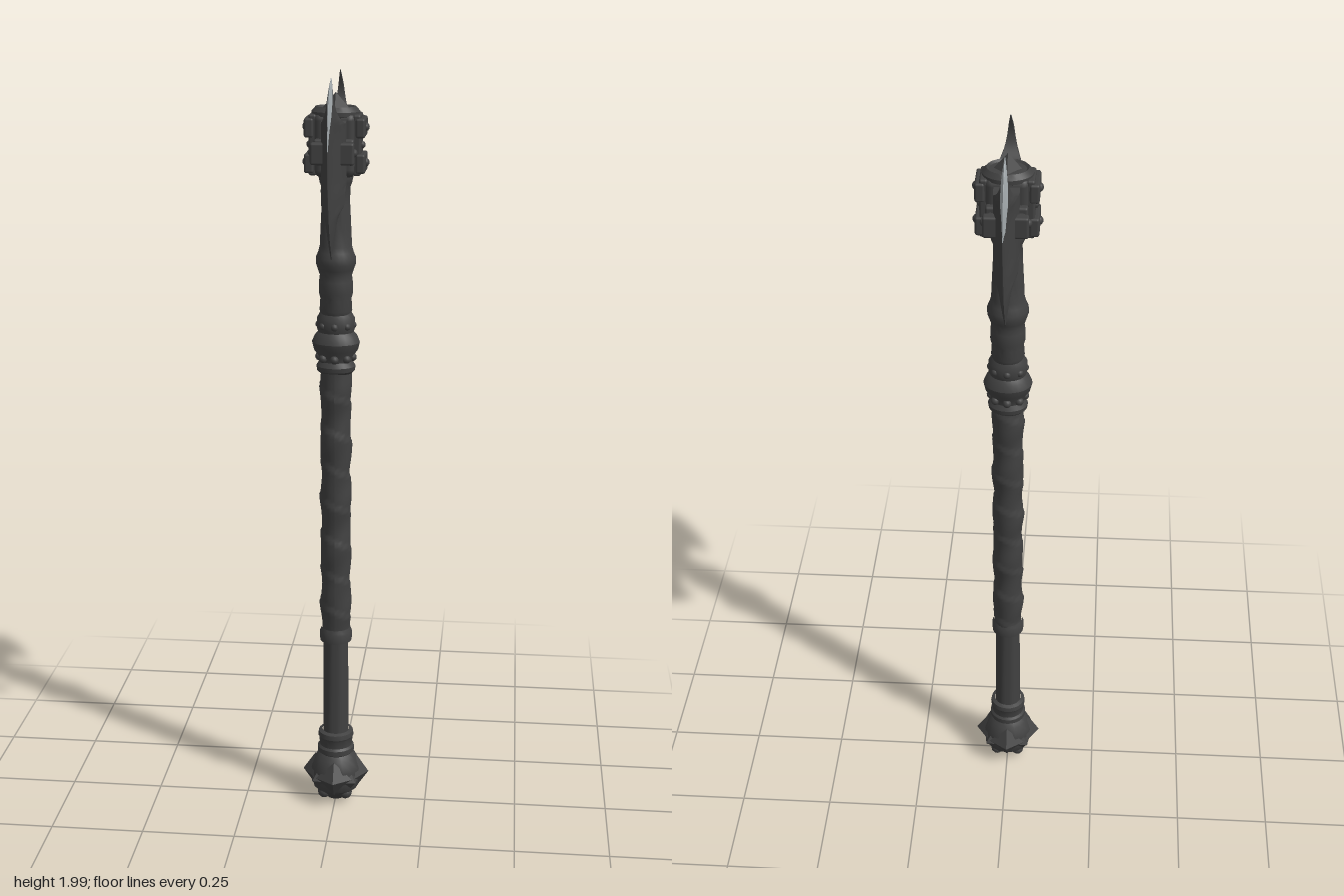
import * as THREE from 'three';
import { toCreasedNormals } from 'three/addons/utils/BufferGeometryUtils.js';
import { RoundedBoxGeometry } from 'three/addons/geometries/RoundedBoxGeometry.js';

const material = (name, color) => Object.assign(new THREE.MeshStandardMaterial({ color }), { name });

export function createModel() {
  const axe = new THREE.Group();
  axe.name = 'battleAxe';
  const iron = material('dark iron', 0x414141);
  const steel = material('bare steel', 0xa6adb0);

  const add = (name, geometry, x = 0, y = 0, z = 0, parent = axe) => {
    const mesh = new THREE.Mesh(geometry, iron);
    mesh.name = name;
    mesh.position.set(x, y, z);
    parent.add(mesh);
    return mesh;
  };
  const lathe = (name, points, sides = 24) =>
    add(name, toCreasedNormals(new THREE.LatheGeometry(
      points.map(([r, y]) => new THREE.Vector2(r, y)), sides), 0.6));
  const box = (name, w, h, d, x, y, z, parent, r = 0.006) =>
    add(name, new RoundedBoxGeometry(w, h, d, 2, r), x, y, z, parent);

  // Pommel: lumpy core, four big pyramid studs and small studs between them
  const pommel = lathe('pommel', [[0, 0.012], [0.025, 0.014], [0.04, 0.03], [0.062, 0.05], [0.07, 0.08],
    [0.07, 0.11], [0.056, 0.14], [0.045, 0.155], [0.04, 0.16]], 16);
  pommel.scale.set(1, 1, 0.97);
  for (let i = 0; i < 8; i++) {
    const stud = new THREE.Group();
    stud.name = 'pommelStud';
    stud.rotation.y = i * Math.PI / 4;
    const big = i % 2 === 0;
    const spike = new THREE.ConeGeometry(big ? 0.05 : 0.024, big ? 0.034 : 0.02, 4).toNonIndexed();
    spike.computeVertexNormals();
    spike.rotateX(Math.PI / 2);
    add('spike', spike, 0, big ? 0.093 : 0.085, big ? 0.074 : 0.075, stud);
    if (!big) add('lobe', new THREE.SphereGeometry(0.018, 10, 8), 0, 0.04, 0.042, stud);
    axe.add(stud);
  }
  lathe('pommelCollar', [[0.04, 0.15], [0.05, 0.158], [0.05, 0.172], [0.045, 0.178], [0.046, 0.2],
    [0.049, 0.205], [0.047, 0.218], [0.037, 0.222]]);

  // Fluted lower handle
  const flutes = new THREE.CylinderGeometry(0.034, 0.036, 0.29, 32, 1);
  const fp = flutes.attributes.position;
  for (let i = 0; i < fp.count; i++) {
    const k = 1 - 0.04 * (0.5 + 0.5 * Math.cos(8 * Math.atan2(fp.getX(i), fp.getZ(i))));
    fp.setXYZ(i, fp.getX(i) * k, fp.getY(i), fp.getZ(i) * k);
  }
  flutes.computeVertexNormals();
  add('lowerHandle', flutes, 0, 0.355, 0);
  lathe('gripEndBand', [[0.034, 0.488], [0.043, 0.492], [0.044, 0.515], [0.041, 0.522], [0.039, 0.53]]);

  // Wrapped grip: a column roughened by spiral folds
  const grip = new THREE.CylinderGeometry(1, 1, 0.75, 32, 96, true);
  const gp = grip.attributes.position;
  for (let i = 0; i < gp.count; i++) {
    const y = gp.getY(i), a = Math.atan2(gp.getX(i), gp.getZ(i));
    const turn = (a / (2 * Math.PI) + y * 10 + 20) % 1;
    const r = 0.0385 + 0.0035 * turn * turn + 0.0018 * Math.sin(y * 42 + 1) + 0.001 * Math.sin(2 * a - y * 60);
    gp.setXYZ(i, Math.sin(a) * r, y, Math.cos(a) * r);
  }
  grip.computeVertexNormals();
  add('wrappedGrip', grip, 0, 0.885, 0);

  // Ornamental collar, wider across x
  const collar = lathe('ornateCollar', [[0.038, 1.24], [0.049, 1.25], [0.051, 1.262], [0.043, 1.275],
    [0.046, 1.29], [0.057, 1.305], [0.062, 1.325], [0.055, 1.342], [0.046, 1.352], [0.05, 1.365],
    [0.049, 1.388], [0.042, 1.4], [0.038, 1.41]]);
  collar.scale.z = 0.85;
  for (let i = 0; i < 8; i++) {
    const a = i * Math.PI / 4;
    add('collarKnob', new THREE.SphereGeometry(0.011, 10, 8), Math.sin(a) * 0.043, 1.285, Math.cos(a) * 0.04);
    add('collarBead', new THREE.SphereGeometry(0.01, 10, 8), Math.sin(a) * 0.043, 1.37, Math.cos(a) * 0.038);
  }

  // Upper neck with flared ring
  lathe('neck', [[0.039, 1.4], [0.042, 1.41], [0.04, 1.44], [0.044, 1.455], [0.043, 1.485], [0.041, 1.5],
    [0.046, 1.515], [0.051, 1.53], [0.051, 1.545], [0.045, 1.56], [0.041, 1.575], [0.039, 1.62],
    [0.036, 1.68], [0.035, 1.72], [0.041, 1.735], [0.044, 1.75], [0.04, 1.77]]);

  // Head socket with oval cap and top spike
  box('headSocket', 0.108, 0.16, 0.09, 0, 1.83, 0, axe, 0.02);
  const cap = lathe('headCap', [[0.04, 1.89], [0.061, 1.9], [0.061, 1.91], [0.05, 1.922], [0.044, 1.917], [0, 1.92]], 32);
  cap.scale.z = 0.83;
  const point = new THREE.ConeGeometry(0.036, 0.042, 4).toNonIndexed();
  point.computeVertexNormals();
  add('topSpike', point, 0, 1.935, 0);

  // Side plates with bolts, mirrored
  for (const s of [1, -1]) {
    box('sidePlate', 0.02, 0.15, 0.076, s * 0.055, 1.83, 0);
    for (const y of [1.785, 1.872]) box('plateLug', 0.024, 0.048, 0.084, s * 0.064, y, 0);
    for (const y of [1.785, 1.872]) add('bolt', new THREE.SphereGeometry(0.012, 12, 8), s * 0.072, y, 0);
    add('bolt', new THREE.SphereGeometry(0.01, 12, 8), s * 0.064, 1.828, 0);
  }

  // Crescent blade: cross-sections from inner to outer curve, thinning outward
  const curve = (pts) => new THREE.CatmullRomCurve3(pts.map(([z, y]) => new THREE.Vector3(0, y, z)));
  const outer = curve([[0.11, 2.0], [0.152, 1.972], [0.186, 1.91], [0.204, 1.82], [0.198, 1.735], [0.17, 1.64], [0.115, 1.56]]);
  const inner = curve([[0.11, 2.0], [0.122, 1.95], [0.108, 1.912], [0.076, 1.888], [0.035, 1.89], [0.03, 1.82],
    [0.038, 1.745], [0.072, 1.722], [0.076, 1.695], [0.102, 1.668], [0.112, 1.62], [0.115, 1.56]]);
  const rows = 60, steelRows = 24, edgeCols = 3, cols = 9;
  const bladeGeometry = (edgeEnd) => {
    const positions = [], dark = [], bright = [];
    const loop = 2 * cols + 2;
    for (let i = 0; i <= rows; i++) {
      const a = inner.getPoint(i / rows), b = outer.getPointAt(i / rows);
      const split = THREE.MathUtils.lerp(0.15, edgeEnd, Math.min(1, i / steelRows) ** 0.6);
      const taper = Math.min(1, a.distanceTo(b) / 0.1);
      for (let j = 0; j < loop; j++) {
        const back = j > cols, c = back ? loop - 1 - j : j;
        const u = c <= edgeCols ? 1 - (1 - split) * c / edgeCols : split * (cols - c) / (cols - edgeCols);
        const p = a.clone().lerp(b, u);
        const slope = THREE.MathUtils.clamp(1 - (p.z - 0.07) / 0.135, 0, 1);
        const half = 0.0008 + 0.03 * slope * taper * Math.min(1, 1.8 * (1 - u));
        positions.push(back ? -half : half, p.y, p.z);
      }
    }
    for (let i = 0; i < rows; i++) {
      for (let j = 0; j < loop; j++) {
        const k = (j + 1) % loop;
        const p = i * loop + j, q = p + loop, r = i * loop + k, s = r + loop;
        const isEdge = i < steelRows && (j < edgeCols || j >= loop - 1 - edgeCols);
        (isEdge ? bright : dark).push(p, q, r, q, s, r);
      }
    }
    const g = new THREE.BufferGeometry();
    g.setAttribute('position', new THREE.Float32BufferAttribute(positions, 3));
    g.setIndex([...dark, ...bright]);
    g.addGroup(0, dark.length, 0);
    g.addGroup(dark.length, bright.length, 1);
    return toCreasedNormals(g, 0.6);
  };

  // Two blades with their clamps
  for (const [name, turn, edgeEnd] of [['frontBlade', 0, 0.97], ['backBlade', Math.PI, 0.78]]) {
    const side = new THREE.Group();
    side.name = name;
    side.rotation.y = turn;
    const blade = add('blade', bladeGeometry(edgeEnd), 0, 0, 0, side);
    blade.material = [iron, steel];
    box('clampArm', 0.09, 0.034, 0.06, 0, 1.817, 0.065, side);
    box('clampEnd', 0.108, 0.054, 0.026, 0, 1.817, 0.092, side);
    box('clampRoot', 0.1, 0.06, 0.022, 0, 1.817, 0.05, side);
    for (const s of [1, -1]) add('clampRivet', new THREE.SphereGeometry(0.011, 10, 8), s * 0.05, 1.817, 0.075, side);
    axe.add(side);
  }
  return axe;
}
